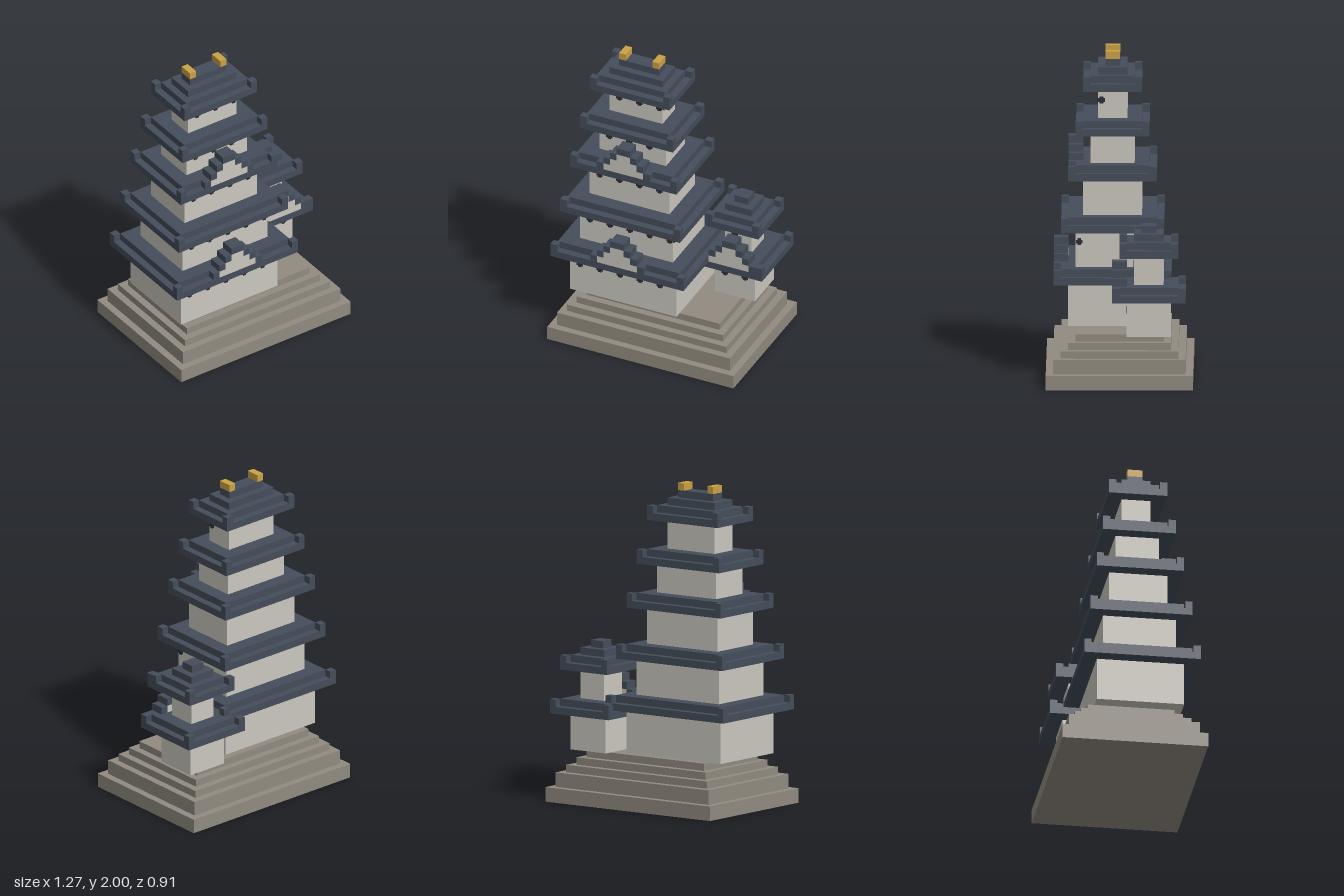
import * as THREE from 'three';

const U = 2 / 44; // one block

const mat = (name, color) => {
  const m = new THREE.MeshStandardMaterial({ color });
  m.name = name;
  return m;
};

export function createModel() {
  const stone = mat('stone', 0x918b80);
  const plaster = mat('plaster', 0xcac7be);
  const slate = mat('slate', 0x444d5a);
  const gold = mat('gold', 0xcba145);
  const dark = mat('window dark', 0x2b2b35);

  const group = (name, parent) => {
    const g = new THREE.Group();
    g.name = name;
    parent.add(g);
    return g;
  };

  // Box given by its block limits on each axis
  const block = (parent, name, material, [x0, x1], [y0, y1], [z0, z1]) => {
    const mesh = new THREE.Mesh(new THREE.BoxGeometry((x1 - x0) * U, (y1 - y0) * U, (z1 - z0) * U), material);
    mesh.position.set((x0 + x1) * U / 2, (y0 + y1) * U / 2, (z0 + z1) * U / 2);
    mesh.name = name;
    parent.add(mesh);
  };

  // Thin cross-shaped window plate
  const a = 0.46 * U, b = 0.25 * U;
  const cross = new THREE.Shape([
    [-b, -a], [b, -a], [b, -b], [a, -b], [a, b], [b, b],
    [b, a], [-b, a], [-b, b], [-a, b], [-a, -b], [-b, -b],
  ].map(([x, y]) => new THREE.Vector2(x, y)));
  const windowGeometry = new THREE.ExtrudeGeometry(cross, { depth: 0.004, bevelEnabled: false });
  const addWindow = (parent, x, y, z, turn = 0) => {
    const mesh = new THREE.Mesh(windowGeometry, dark);
    mesh.position.set(x * U, y * U, z * U);
    mesh.rotation.y = turn;
    mesh.name = 'window';
    parent.add(mesh);
  };

  // Eaves slab, inset upper layer and raised corner blocks
  const roof = (parent, [x0, x1], y, [z0, z1]) => {
    const g = group('roof', parent);
    block(g, 'eaves', slate, [x0, x1], [y, y + 1], [z0, z1]);
    block(g, 'upperRoof', slate, [x0 + 1, x1 - 1], [y + 1, y + 2], [z0 + 1, z1 - 1]);
    for (const x of [x0, x1 - 1])
      for (const z of [z0, z1 - 1])
        block(g, 'raisedCorner', slate, [x, x + 1], [y + 1, y + 2], [z, z + 1]);
  };

  // One storey: walls, a row of front windows and the roof overhanging by two
  const storey = (parent, cx, cz, hx, hz, y0, y1) => {
    const g = group('storey', parent);
    const x1 = cx + hx, z1 = cz + hz;
    block(g, 'walls', plaster, [cx - hx, x1], [y0, y1], [cz - hz, z1]);
    for (let x = cx - hx + 1.5; x < x1; x += 3) {
      addWindow(g, x, y1 - 1.5, z1);
      // A window on the corner also shows on the side wall
      if (x1 - x < 1) addWindow(g, x1, y1 - 1.5, z1 - 0.5, Math.PI / 2);
    }
    roof(g, [cx - hx - 2, x1 + 2], y1, [cz - hz - 2, z1 + 2]);
  };

  // Stepped gable: plaster rows edged by slate blocks
  const gable = (parent, cx, y, z1) => {
    const g = group('gable', parent);
    const z = [z1 - 2, z1];
    for (let i = 0; i < 3; i++) {
      const h = 3 - i, row = [y + i, y + i + 1];
      block(g, 'gableWall', plaster, [cx - h, cx + h], row, z);
      block(g, 'gableEdge', slate, [cx - h - 1, cx - h], row, z);
      block(g, 'gableEdge', slate, [cx + h, cx + h + 1], row, z);
    }
    block(g, 'gableCap', slate, [cx - 1, cx + 1], [y + 3, y + 4], z);
  };

  const model = new THREE.Group();
  model.name = 'castle';

  // Stepped stone base
  const base = group('base', model);
  [0, 2, 4, 5, 6, 7].forEach((y, i, ys) => {
    if (i < 5) block(base, 'baseStep', stone, [i - 14, 14 - i], [y, ys[i + 1]], [i - 10, 10 - i]);
  });

  // Main keep, five shrinking storeys
  const keep = group('mainKeep', model);
  [[7, 13], [15, 20], [22, 27], [29, 33], [35, 39]].forEach(([y0, y1], i) =>
    storey(keep, -4, 1, 8 - i, 6 - i, y0, y1));
  block(keep, 'ridgeBase', slate, [-8, 0], [41, 42], [-1, 3]);
  block(keep, 'ridge', slate, [-7, -1], [42, 43], [0, 2]);
  for (const x of [-7, -2]) block(keep, 'ridgeOrnament', gold, [x, x + 1], [43, 44], [0, 2]);
  gable(keep, -4, 14, 9);
  gable(keep, -4, 28, 7);

  // Side turret, two storeys
  const turret = group('sideTurret', model);
  storey(turret, 9, -4, 3, 3, 7, 12);
  storey(turret, 9, -4, 2, 2, 14, 18);
  block(turret, 'turretRidgeBase', slate, [7, 11], [20, 21], [-6, -2]);
  block(turret, 'turretCap', slate, [8, 10], [21, 22], [-5, -3]);
  gable(turret, 9, 13, 1);

  return model;
}
